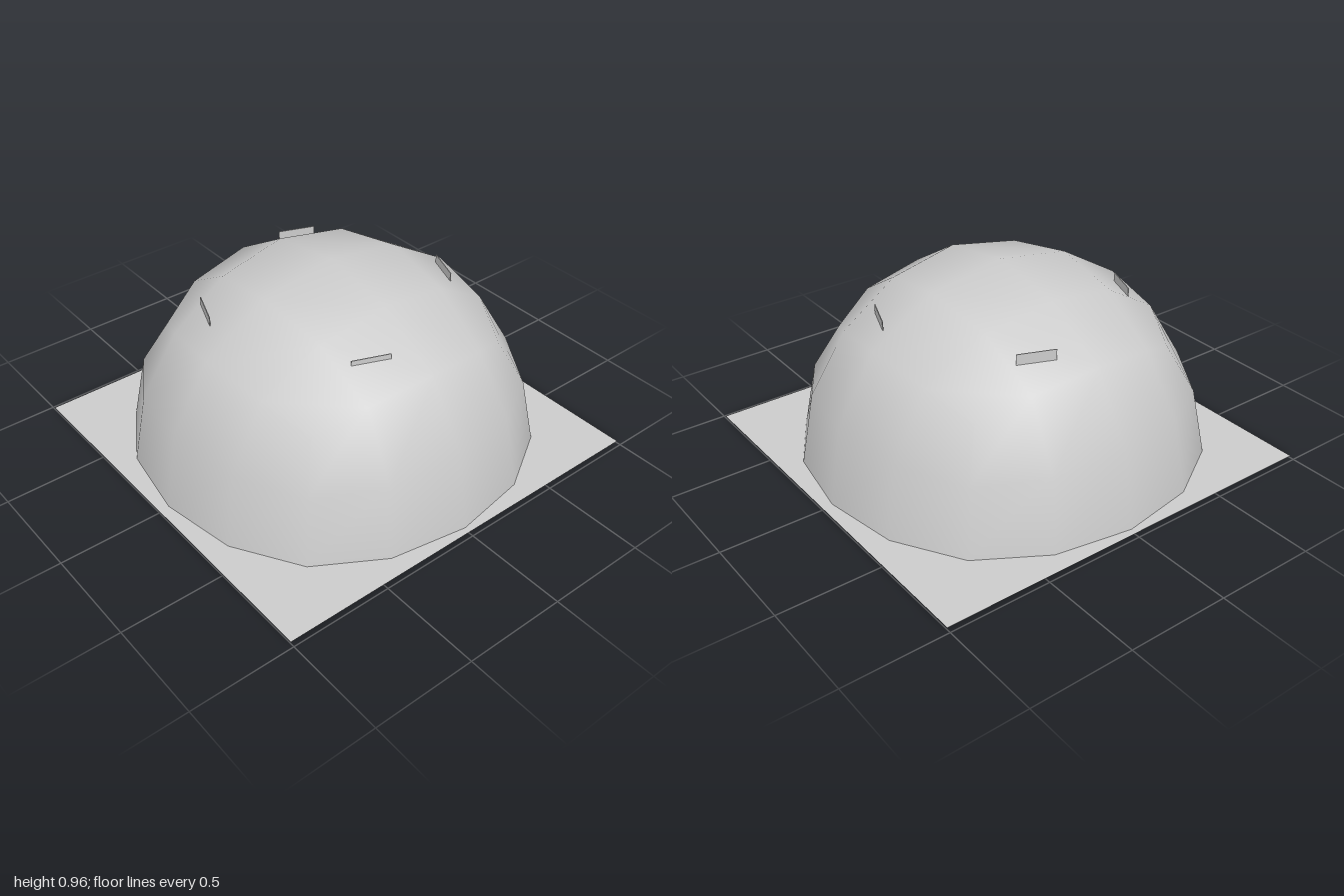
import * as THREE from 'three';
import { mergeVertices } from 'three/addons/utils/BufferGeometryUtils.js';

const BASE = 0.012;
const grey = (side = THREE.FrontSide) => new THREE.MeshStandardMaterial({ color: 0xcccccc, side });

// Rounded-cube rule: the sorted absolute grid coordinates (0..2) of a vertex
// select the rounded value of its 2s and 1s.
const ROUNDED = {
  '200': { 2: 1 },
  '210': { 2: 0.933, 1: 0.399 },
  '220': { 2: 0.732 },
  '211': { 2: 0.87, 1: 0.372 },
  '221': { 2: 0.682, 1: 0.344 },
  '222': { 2: 0.58 },
};

// Upper half of a subdivided cube, open at the bottom
function domeGeometry(radius) {
  const g = new THREE.BoxGeometry(4, 2, 4, 4, 2, 4).translate(0, 1, 0);
  const floor = g.groups[3];
  g.setIndex(Array.from(g.index.array).filter((_, i) => i < floor.start || i >= floor.start + floor.count));
  g.clearGroups();
  g.deleteAttribute('uv');
  g.deleteAttribute('normal');
  const p = g.attributes.position;
  for (let i = 0; i < p.count; i++) {
    const v = [p.getX(i), p.getY(i), p.getZ(i)].map(Math.round);
    const rule = ROUNDED[v.map(Math.abs).sort((a, b) => b - a).join('')];
    if (!rule) continue; // unused floor vertices
    p.setXYZ(i, ...v.map((c) => Math.sign(c) * (rule[Math.abs(c)] || 0) * radius));
  }
  const merged = mergeVertices(g);
  merged.computeVertexNormals();
  return merged;
}

export function createModel() {
  const model = new THREE.Group();
  model.name = 'domeOnGround';
  const add = (name, geometry, material, x = 0, y = 0, z = 0, yaw = 0) => {
    const mesh = new THREE.Mesh(geometry, material);
    mesh.name = name;
    mesh.position.set(x, y, z);
    mesh.rotation.y = yaw;
    model.add(mesh);
  };

  // Outer dome and the inside face of its thick shell
  add('domeShell', domeGeometry(0.95), grey(), 0, BASE, 0);
  add('domeLining', domeGeometry(0.89), grey(THREE.BackSide), 0, BASE, 0);

  // Ground sheet
  add('groundSheet', new THREE.PlaneGeometry(1.96, 2).rotateX(-Math.PI / 2),
    grey(THREE.DoubleSide), 0, BASE - 0.002, 0);

  // Upright fins breaking through the upper dome: x, z, yaw in degrees
  const fin = new THREE.BoxGeometry(0.18, 0.1, 0.004);
  [[-0.245, 0.528, -21], [0.518, 0.2, -111], [0.155, -0.562, -21], [-0.55, -0.225, -111]]
    .forEach(([x, z, yaw]) => add('roofFin', fin, grey(), x, 0.745, z, THREE.MathUtils.degToRad(yaw)));

  // Thin wall feet under the sheet, long and short by turns
  const longFoot = new THREE.BoxGeometry(0.325, 0.016, 0.006);
  const shortFoot = new THREE.BoxGeometry(0.09, 0.016, 0.006);
  for (let i = 0; i < 4; i++) {
    const turn = i * Math.PI / 2;
    const a = turn + THREE.MathUtils.degToRad(26);
    add('longFoot', longFoot, grey(), 0.82 * Math.sin(a), 0.008, 0.82 * Math.cos(a), turn + 0.42);
    const b = turn - THREE.MathUtils.degToRad(26);
    add('shortFoot', shortFoot, grey(), 0.82 * Math.sin(b), 0.008, 0.82 * Math.cos(b), b);
  }
  return model;
}
